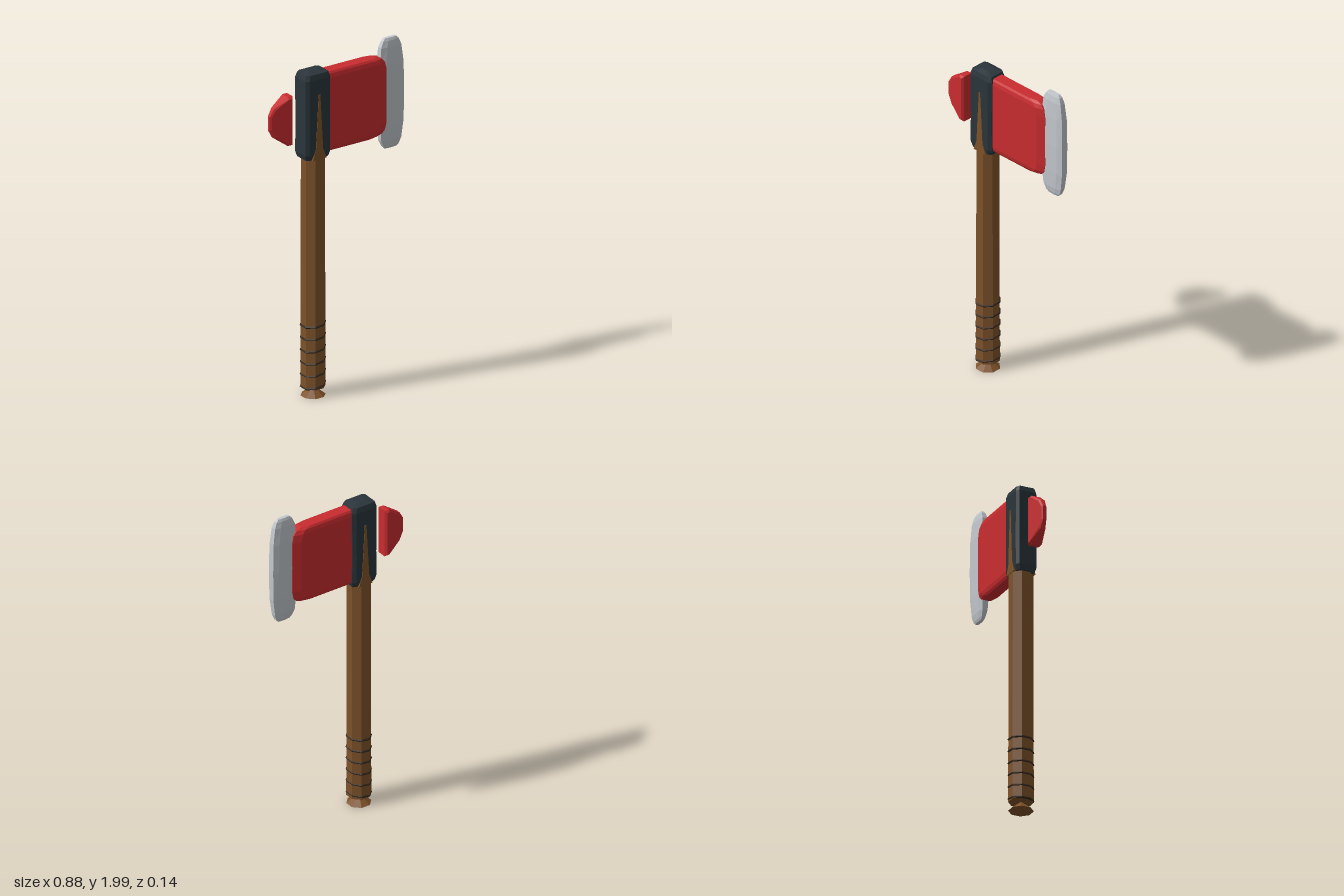
import * as THREE from 'three';

const flat = (name, color) => {
  const m = new THREE.MeshStandardMaterial({ color });
  m.name = name;
  return m;
};

// Stacks chamfered rectangles [y, x0, x1, halfDepth] into a closed, faceted solid.
function loft(sections, cx, cz) {
  const rings = sections.map(([y, x0, x1, z]) => {
    const c = Math.min(cx, (x1 - x0) * 0.3), d = z * cz;
    return [
      [x1, z - d], [x1, d - z], [x1 - c, -z], [x0 + c, -z],
      [x0, d - z], [x0, z - d], [x0 + c, z], [x1 - c, z],
    ].map(([x, zz]) => new THREE.Vector3(x, y, zz));
  });
  const tris = [];
  const n = 8;
  for (let r = 0; r < rings.length - 1; r++) {
    const a = rings[r], b = rings[r + 1];
    for (let i = 0; i < n; i++) {
      const j = (i + 1) % n;
      tris.push(a[i], a[j], b[j], a[i], b[j], b[i]);
    }
  }
  const low = rings[0], high = rings[rings.length - 1];
  for (let i = 1; i < n - 1; i++) {
    tris.push(high[0], high[i], high[i + 1], low[0], low[i + 1], low[i]);
  }
  const g = new THREE.BufferGeometry().setFromPoints(tris);
  g.computeVertexNormals();
  return g;
}

export function createModel() {
  const axe = new THREE.Group();
  axe.name = 'axe';
  const wood = flat('wood', 0x7d522a);
  const wrap = flat('darkWrap', 0x33261c);
  const iron = flat('darkIron', 0x2a353b);
  const red = flat('redPaint', 0xc92c2f);
  const steel = flat('steel', 0xc3c8cd);
  const add = (name, geometry, material) => {
    const mesh = new THREE.Mesh(geometry, material);
    mesh.name = name;
    axe.add(mesh);
    return mesh;
  };
  const cx = -0.15;

  // Octagonal handle with a pointed foot
  const faceted = (rt, rb, y0, y1) => {
    const g = new THREE.CylinderGeometry(rt, rb, y1 - y0, 8, 1, false, Math.PI / 8).toNonIndexed();
    g.translate(cx, (y0 + y1) / 2, 0);
    g.computeVertexNormals();
    return g;
  };
  add('handle', faceted(0.067, 0.07, 0.06, 1.46), wood);
  add('handleTip', faceted(0.004, 0.07, 0.008, 0.06), wood);

  // Tapering tongue of wood showing through the collar on both sides
  const tongue = new THREE.Shape([
    [-0.045, 1.42], [0.045, 1.42], [0.023, 1.48], [0.005, 1.8], [-0.005, 1.8], [-0.023, 1.48],
  ].map(([x, y]) => new THREE.Vector2(x + cx, y)));
  const tongueGeo = new THREE.ExtrudeGeometry(tongue, { depth: 0.131, bevelEnabled: false });
  tongueGeo.translate(0, 0, -0.0655);
  add('handleTongue', tongueGeo, wood);

  // Tilted grip bindings
  for (let i = 0; i < 6; i++) {
    const g = new THREE.TorusGeometry(0.066, 0.008, 5, 8);
    g.rotateZ(Math.PI / 8);
    g.rotateX(Math.PI / 2);
    const ring = add('gripBinding' + (i + 1), g.toNonIndexed(), wrap);
    ring.geometry.computeVertexNormals();
    ring.position.set(cx, 0.073 + i * 0.0718, 0);
    ring.rotation.z = 0.16 - i * 0.012;
  }

  // Iron collar
  add('collar', loft([
    [1.42, -0.225, -0.078, 0.054], [1.45, -0.233, -0.07, 0.062],
    [1.60, -0.231, -0.072, 0.0625], [1.89, -0.233, -0.07, 0.062],
    [1.92, -0.223, -0.08, 0.054], [1.93, -0.18, -0.12, 0.025],
  ], 0.02, 0.2), iron);

  // Red blade body with rounded outer corners
  add('bladeBody', loft([
    [1.44, -0.12, 0.25, 0.032], [1.453, -0.12, 0.285, 0.04],
    [1.475, -0.12, 0.304, 0.045], [1.52, -0.12, 0.315, 0.045],
    [1.83, -0.12, 0.315, 0.045], [1.875, -0.12, 0.304, 0.045],
    [1.897, -0.12, 0.285, 0.04], [1.908, -0.12, 0.25, 0.032],
  ], 0.05, 0.35), red);

  // Steel cutting edge
  add('cuttingEdge', loft([
    [1.35, 0.318, 0.393, 0.01], [1.365, 0.305, 0.407, 0.016],
    [1.40, 0.289, 0.42, 0.022], [1.50, 0.279, 0.433, 0.027],
    [1.675, 0.277, 0.436, 0.029], [1.85, 0.279, 0.433, 0.027],
    [1.95, 0.289, 0.42, 0.022], [1.985, 0.305, 0.407, 0.016],
    [2.0, 0.318, 0.393, 0.01],
  ], 0.035, 0.3), steel);

  // Detached rear spike, thinning toward its outer end
  const spike = new THREE.Shape([
    [-0.314, 1.54], [-0.33, 1.54], [-0.405, 1.595], [-0.429, 1.64],
    [-0.429, 1.715], [-0.405, 1.755], [-0.33, 1.806], [-0.314, 1.806],
  ].map(([x, y]) => new THREE.Vector2(x, y)));
  const spikeGeo = new THREE.ExtrudeGeometry(spike, {
    depth: 0.056, bevelThickness: 0.012, bevelSize: 0.011, bevelSegments: 1,
  });
  spikeGeo.translate(0, 0, -0.028);
  const p = spikeGeo.attributes.position;
  for (let i = 0; i < p.count; i++) {
    const t = THREE.MathUtils.clamp((-0.32 - p.getX(i)) / 0.12, 0, 1);
    p.setZ(i, p.getZ(i) * (1 - 0.68 * t));
  }
  spikeGeo.computeVertexNormals();
  add('rearSpike', spikeGeo, red);

  return axe;
}
